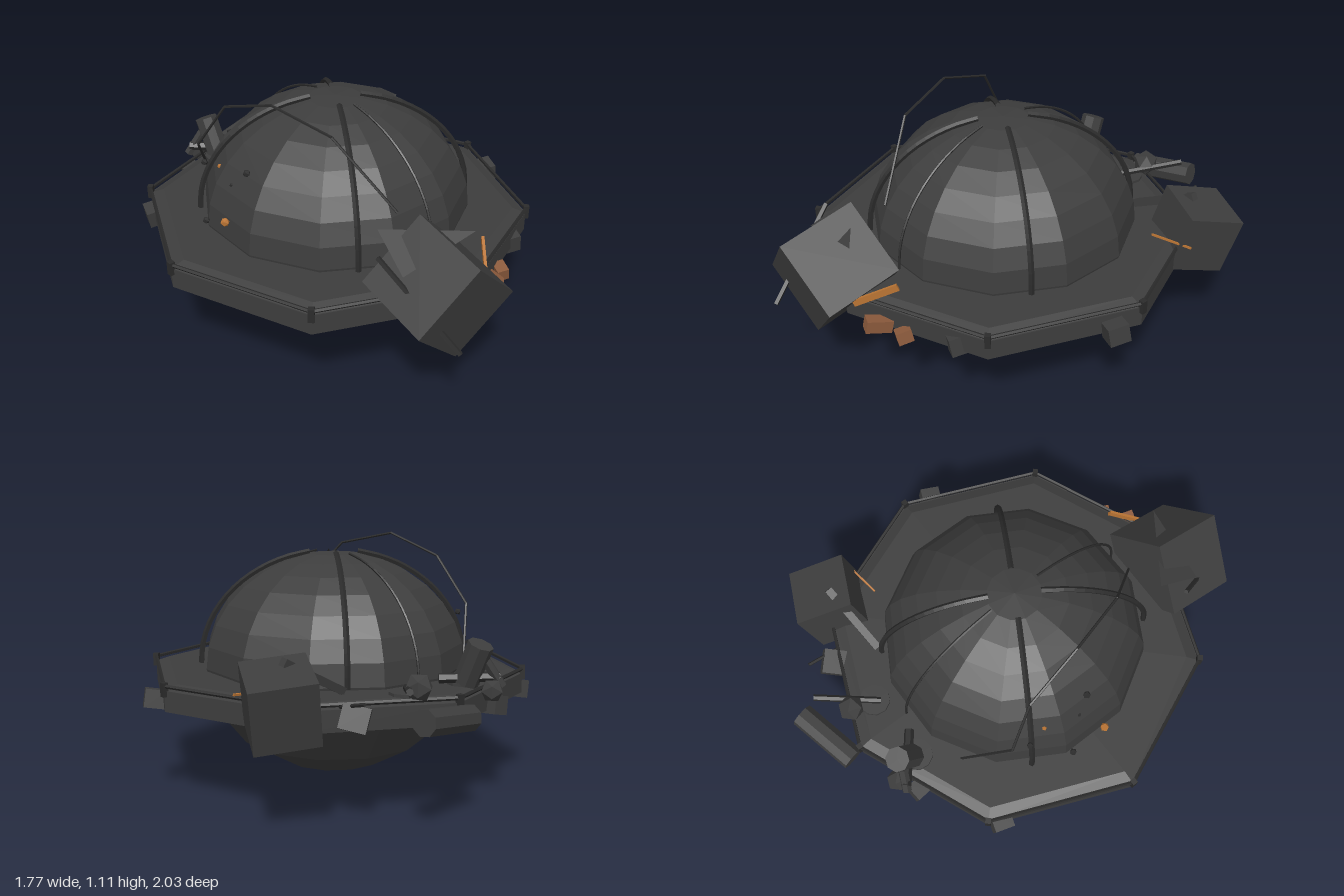
import * as THREE from 'three';

const mat = (name, color) => {
  const m = new THREE.MeshStandardMaterial({ color, flatShading: true });
  m.name = name;
  return m;
};
const V = (p) => new THREE.Vector3(...p);

export function createModel() {
  const hull = mat('charcoal hull', 0x3d3d3d);
  const dark = mat('dark metal', 0x2b2b2b);
  const copper = mat('copper', 0xb87333);
  const rust = mat('rust brown', 0x8b5a3c);
  const model = new THREE.Group();
  model.name = 'wreckedSaucer';

  const add = (name, geo, material, pos = [0, 0, 0], rot = [0, 0, 0], scale = [1, 1, 1]) => {
    const m = new THREE.Mesh(geo, material);
    m.name = name;
    m.position.set(...pos);
    m.rotation.set(...rot);
    m.scale.set(...scale);
    model.add(m);
    return m;
  };
  const box = (name, size, material, pos, rot) =>
    add(name, new THREE.BoxGeometry(...size), material, pos, rot);
  // Straight rod or drum between two points
  const rod = (name, a, b, r, material, sides = 6) => {
    const d = V(b).sub(V(a));
    const m = add(name, new THREE.CylinderGeometry(r, r, d.length(), sides), material);
    m.position.copy(V(a)).addScaledVector(d, 0.5);
    m.quaternion.setFromUnitVectors(new THREE.Vector3(0, 1, 0), d.normalize());
    return m;
  };
  // Bent wire through a list of points
  const wire = (name, pts, r, material) => {
    for (let i = 1; i < pts.length; i++) rod(name, pts[i - 1], pts[i], r, material, 5);
  };

  // Body: finer dome above, coarse bowl below, octagonal deck between
  const cz = 0.03;
  add('dome', new THREE.SphereGeometry(1, 12, 8, 0, Math.PI * 2, 0, Math.PI / 2), hull,
    [0, 0.54, cz], [0, 0, 0], [0.6, 0.505, 0.6]);
  add('bowl', new THREE.SphereGeometry(1, 12, 4, 0, Math.PI * 2, Math.PI / 2, Math.PI / 2), hull,
    [0, 0.54, cz], [0, 0, 0], [0.6, 0.5, 0.6]);
  add('deck', new THREE.CylinderGeometry(0.86, 0.86, 0.09, 8), hull, [0, 0.465, cz]);
  add('deckBevel', new THREE.CylinderGeometry(0.8, 0.855, 0.02, 8), hull, [0, 0.52, cz]);
  const rail = add('rimRail', new THREE.TorusGeometry(0.86, 0.009, 5, 8), dark, [0, 0.53, cz]);
  rail.rotation.x = Math.PI / 2;
  for (let i = 0; i < 8; i++) {
    const a = (i * Math.PI) / 4;
    box('railPost', [0.025, 0.06, 0.025], dark,
      [0.86 * Math.sin(a), 0.515, cz + 0.86 * Math.cos(a)], [0, a, 0]);
  }

  // Ribs over the dome: four heavy, two light
  const rib = (angle, r, from) => {
    const pts = [];
    for (let i = 0; i <= 8; i++) {
      const t = from + (Math.PI / 2 - from) * (i / 8);
      pts.push(new THREE.Vector3(0.607 * Math.sin(t) * Math.cos(angle),
        0.54 + 0.512 * Math.cos(t), cz + 0.607 * Math.sin(t) * Math.sin(angle)));
    }
    add('domeRib', new THREE.TubeGeometry(new THREE.CatmullRomCurve3(pts), 16, r, 5), dark);
  };
  for (let i = 0; i < 4; i++) rib(-0.26 + (i * Math.PI) / 2, 0.013, 0.18);
  rib(0.74, 0.006, 0.2);
  rib(-2.36, 0.006, 0.2);

  // Loose cables above and below
  wire('looseCable', [[-0.6, 0.52, -0.13], [-0.6, 0.81, 0.1], [-0.46, 1.02, 0.15],
    [-0.23, 1.11, 0.31], [0.03, 1.05, 0.45], [0.3, 0.76, 0.51]], 0.006, dark);
  wire('keelCable', [[-0.43, 0.19, 0.12], [-0.27, 0.075, 0.09], [-0.02, 0.015, 0.06],
    [0.22, 0.08, 0]], 0.006, dark);

  // Large tumbled crate at the front left with a board across it
  const ex = V([0.43, -0.67, -0.61]).normalize();
  const ez = ex.clone().cross(V([-0.7, 0.28, -0.65])).normalize();
  const ey = ez.clone().cross(ex);
  const crate = box('largeCrate', [0.345, 0.345, 0.345], hull, [0.475, 0.555, 0.71]);
  crate.quaternion.setFromRotationMatrix(new THREE.Matrix4().makeBasis(ex, ey, ez));
  const plate = new THREE.BufferGeometry().setFromPoints(
    [[0.23, 0.77, 0.66], [0.34, 0.67, 0.83], [0.61, 0.75, 0.6]].map(V));
  plate.setIndex([0, 1, 2, 0, 2, 1]);
  plate.computeVertexNormals();
  add('tornPanel', plate, hull);
  rod('crateStrap', [0.24, 0.72, 0.78], [0.57, 0.42, 0.95], 0.011, dark, 4);

  // Smaller crate at the back
  box('backCrate', [0.265, 0.27, 0.265], hull, [0.06, 0.54, -0.83], [-0.28, 0.38, 0]);
  rod('leaningPlank', [-0.14, 0.54, -0.58], [0.05, 0.7, -0.82], 0.024, hull, 4);
  box('brokenSlab', [0.11, 0.1, 0.1], hull, [-0.22, 0.48, -0.78], [0.3, 0.1, 0.2]);
  wire('brokenWire', [[-0.27, 0.56, -0.87], [-0.16, 0.52, -0.76]], 0.008, dark);

  // Scrap drums and pipes at the back right
  rod('largeDrum', [-0.65, 0.46, -0.61], [-0.49, 0.5, -0.87], 0.055, hull, 8);
  rod('leaningDrum', [-0.62, 0.54, -0.34], [-0.68, 0.71, -0.38], 0.055, hull, 8);
  rod('shortPipe', [-0.77, 0.53, -0.34], [-0.7, 0.64, -0.36], 0.022, hull);
  rod('sidePipe', [-0.76, 0.57, -0.34], [-0.51, 0.56, -0.37], 0.022, dark);
  rod('longPipe', [-0.43, 0.6, -0.81], [-0.39, 0.55, -0.52], 0.015, dark);
  add('scrapBall', new THREE.IcosahedronGeometry(0.06, 0), hull, [-0.45, 0.58, -0.64]);
  add('scrapBall', new THREE.IcosahedronGeometry(0.05, 0), hull, [-0.73, 0.52, -0.39]);
  for (const [x, z] of [[-0.39, -0.55], [-0.61, -0.32]])
    add('deckHatch', new THREE.CylinderGeometry(0.07, 0.07, 0.015, 10), hull, [x, 0.535, z]);

  // Blocks around the rim
  [[-0.83, 0.43, 0.08, 0.09, 0.5], [0.69, 0.45, -0.47, 0.09, 0.4], [0.79, 0.44, 0.16, 0.07, 0.4],
    [-0.74, 0.44, -0.3, 0.08, 0.9]].forEach(([x, y, z, s, a]) =>
    box('rimBlock', [s, 0.08, s], hull, [x, y, z], [0.15, a, 0.1]));

  // Rust blocks and copper scraps
  box('rustBlock', [0.05, 0.055, 0.065], rust, [0.74, 0.425, 0.38], [0.2, 0.4, 0.1]);
  box('rustBlock', [0.055, 0.055, 0.11], rust, [0.7, 0.445, 0.49], [-0.25, 0.4, 0.1]);
  box('copperStrip', [0.012, 0.03, 0.2], copper, [0.66, 0.56, 0.5], [0.4, 0.08, 0]);
  rod('copperWire', [0.13, 0.545, -0.64], [0.25, 0.56, -0.8], 0.006, copper, 4);

  // Small fragments beside the dome
  [[-0.33, 0.83, 0.38, 0.017], [-0.4, 0.76, 0.36, 0.01], [-0.52, 0.58, 0.36, 0.016],
    [-0.56, 0.76, 0.17, 0.015], [-0.48, 0.69, 0.23, 0.013]].forEach(([x, y, z, r]) =>
    add('fragment', new THREE.IcosahedronGeometry(r, 0), dark, [x, y, z]));
  add('copperFragment', new THREE.IcosahedronGeometry(0.02, 0), copper, [-0.41, 0.65, 0.48]);
  add('copperFragment', new THREE.IcosahedronGeometry(0.011, 0), copper, [-0.48, 0.77, 0.22]);

  return model;
}
